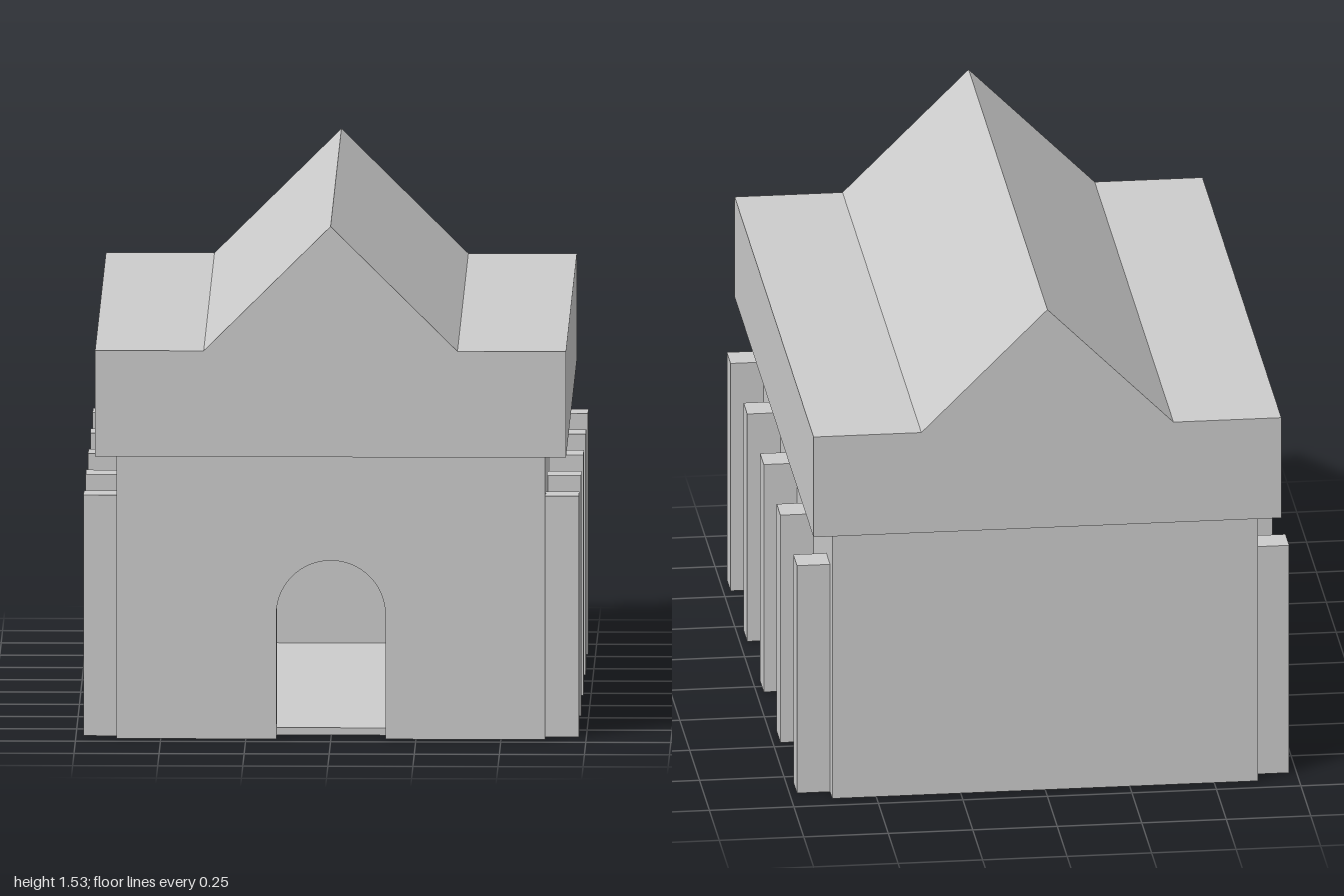
import * as THREE from 'three';

export function createModel() {
  const model = new THREE.Group();
  model.name = 'gabledHall';
  const stone = new THREE.MeshStandardMaterial({ color: 0xcccccc });
  stone.name = 'paleStone';

  const halfW = 0.63, halfL = 0.945, wallTop = 0.845, wall = 0.08;

  function add(name, geometry, x = 0, y = 0, z = 0) {
    const mesh = new THREE.Mesh(geometry, stone);
    mesh.name = name;
    mesh.position.set(x, y, z);
    model.add(mesh);
  }
  const box = (name, w, h, d, x, y, z) =>
    add(name, new THREE.BoxGeometry(w, h, d), x, y + h / 2, z);
  const extrude = (shape, depth) =>
    new THREE.ExtrudeGeometry(shape, { depth, bevelEnabled: false, curveSegments: 24 });

  // Front wall with an arched doorway open at the ground
  const door = 0.16, spring = 0.37;
  const front = new THREE.Shape();
  front.moveTo(-halfW, 0);
  front.lineTo(-door, 0);
  front.lineTo(-door, spring);
  front.absarc(0, spring, door, Math.PI, 0, true);
  front.lineTo(door, 0);
  front.lineTo(halfW, 0);
  front.lineTo(halfW, wallTop);
  front.lineTo(-halfW, wallTop);
  front.closePath();
  add('frontWall', extrude(front, wall), 0, 0, halfL - wall);

  // Remaining walls and the thin floor of the hollow room
  box('backWall', halfW * 2, wallTop, wall, 0, 0, -halfL + wall / 2);
  const innerL = 2 * (halfL - wall);
  for (const side of [-1, 1]) {
    box(side > 0 ? 'leftWall' : 'rightWall', wall, wallTop, innerL, side * (halfW - wall / 2), 0, 0);
  }
  box('floor', 2 * (halfW - wall), 0.022, innerL, 0, 0, 0);

  // Buttresses along both sides
  for (const side of [-1, 1]) {
    for (let i = -2; i <= 2; i++) {
      box('buttress', 0.098, 0.715, 0.093, side * (halfW + 0.049), 0, i * 0.421);
    }
  }

  // Overhanging roof block with a central gable
  const roof = new THREE.Shape();
  roof.moveTo(-0.692, wallTop);
  roof.lineTo(0.692, wallTop);
  roof.lineTo(0.692, 1.16);
  roof.lineTo(0.373, 1.16);
  roof.lineTo(0, 1.53);
  roof.lineTo(-0.373, 1.16);
  roof.lineTo(-0.692, 1.16);
  roof.closePath();
  add('roof', extrude(roof, 2), 0, 0, -1);

  return model;
}
